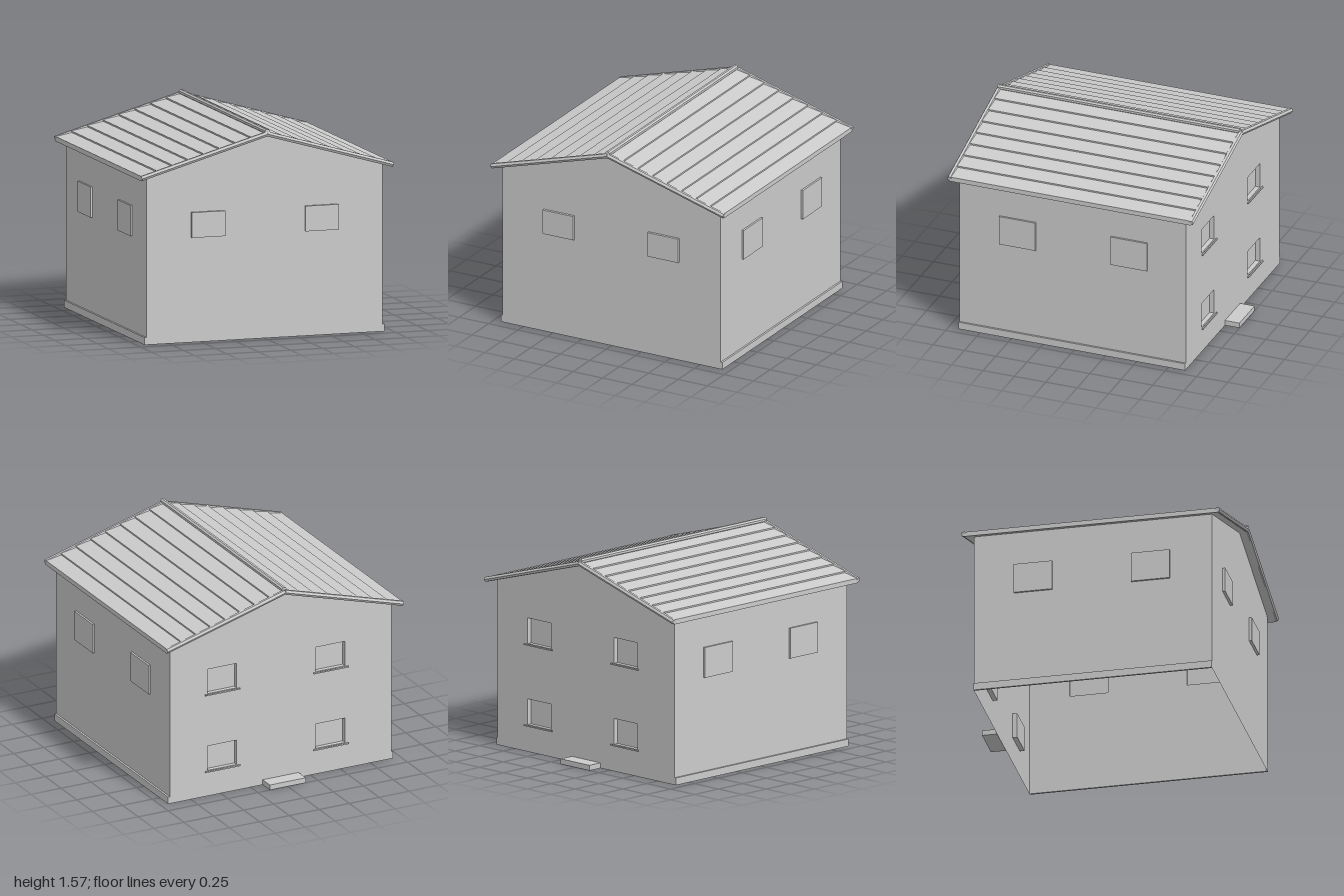
import * as THREE from 'three';

const X = 0.925, FRONT = 0.92, BACK = -0.885, EAVE = 1.255, APEX = 1.52;
const PITCH = (APEX - EAVE) / X;

export function createModel() {
  const house = new THREE.Group();
  house.name = 'house';
  const grey = new THREE.MeshStandardMaterial({ color: 0xcccccc, side: THREE.DoubleSide, flatShading: true });
  grey.name = 'plainGrey';

  const add = (name, geometry, parent = house) => {
    const mesh = new THREE.Mesh(geometry, grey);
    mesh.name = name;
    parent.add(mesh);
    return mesh;
  };
  const box = (name, x0, x1, y0, y1, z0, z1, parent) =>
    add(name, new THREE.BoxGeometry(x1 - x0, y1 - y0, z1 - z0)
      .translate((x0 + x1) / 2, (y0 + y1) / 2, (z0 + z1) / 2), parent);
  const polygon = (pts) => new THREE.Shape(pts.map(([x, y]) => new THREE.Vector2(x, y)));

  // Thin wall facing local +z, with windows [x0, x1, y0, y1] pushed out or in by depth
  const wall = (name, x0, x1, windows, depth) => {
    const group = new THREE.Group();
    group.name = name;
    house.add(group);
    const shape = polygon([[x0, 0], [x1, 0], [x1, EAVE], [x0, EAVE]]);
    for (const [a, b, c, d] of windows) {
      shape.holes.push(new THREE.Path([[a, c], [a, d], [b, d], [b, c]].map(([x, y]) => new THREE.Vector2(x, y))));
      // Pane and reveals: a box left open on the wall plane
      const geometry = new THREE.BoxGeometry(b - a, d - c, Math.abs(depth))
        .translate((a + b) / 2, (c + d) / 2, depth / 2);
      const index = Array.from(geometry.index.array);
      index.splice(depth > 0 ? 30 : 24, 6);
      geometry.setIndex(index);
      geometry.clearGroups();
      add('window', geometry, group);
    }
    add('wallPanel', new THREE.ShapeGeometry(shape), group);
    return group;
  };
  const gable = (parent) =>
    add('gable', new THREE.ShapeGeometry(polygon([[-X, EAVE], [X, EAVE], [0, APEX]])), parent);

  // Front wall
  const front = wall('frontWall', -X, X, [[-0.575, -0.315, 0.785, 0.975], [0.315, 0.575, 0.785, 0.975]], 0.02);
  front.position.z = FRONT;
  gable(front);

  // Back wall with recessed windows and sills
  const backWindows = [];
  for (const y of [0.205, 0.82]) {
    for (const [a, b] of [[-0.612, -0.367], [0.293, 0.538]]) backWindows.push([a, b, y, y + 0.195]);
  }
  const back = wall('backWall', -X, X, backWindows, -0.035);
  back.position.z = BACK;
  back.rotation.y = Math.PI;
  gable(back);
  for (const [a, b, c] of backWindows) box('sill', a - 0.023, b + 0.023, c - 0.01, c, 0.01, 0.02, back);

  // Side walls with plinths
  const right = wall('rightHandWall', -FRONT, -BACK, [[-0.6, -0.31, 0.765, 0.995], [0.29, 0.58, 0.765, 0.995]], 0.015);
  right.position.x = X;
  right.rotation.y = Math.PI / 2;
  box('plinth', -FRONT, -BACK, 0, 0.055, 0, 0.015, right);
  const left = wall('leftHandWall', BACK, FRONT, [[0.31, 0.6, 0.765, 0.995], [-0.58, -0.29, 0.765, 0.995]], 0.015);
  left.position.x = -X;
  left.rotation.y = -Math.PI / 2;
  box('plinth', BACK, FRONT, 0, 0.055, 0, 0.015, left);

  // Door step
  box('backStep', -0.15, 0.15, 0, 0.04, -1, BACK);

  // Roof slopes with lapped courses, and verge trims
  const END = 0.985, COURSES = 8;
  for (const s of [1, -1]) {
    const profile = [[0, APEX], [0, APEX + 0.025]];
    for (let i = 1; i <= COURSES; i++) {
      const x = (END * i) / COURSES, y = APEX - PITCH * x;
      profile.push([x, y + 0.036]);
      if (i < COURSES) profile.push([x, y + 0.025]);
    }
    profile.push([END, APEX - PITCH * END]);
    add('roofSlope', new THREE.ExtrudeGeometry(polygon(profile.map(([x, y]) => [s * x, y])),
      { depth: 1.925, bevelEnabled: false }).translate(0, 0, -0.95));

    for (const z of [0.975, -0.95]) {
      const trim = add('vergeTrim', new THREE.CylinderGeometry(0.02, 0.02, END * Math.hypot(1, PITCH), 6));
      trim.position.set(s * END / 2, 1.54 - PITCH * END / 2, z);
      trim.rotation.z = s * (Math.PI / 2 - Math.atan(PITCH));
    }
  }

  // Ridge cap
  add('ridgeCap', new THREE.CylinderGeometry(0.021, 0.021, 1.93, 8)
    .rotateY(Math.PI / 8).rotateX(Math.PI / 2).translate(0, 1.555, 0.02));

  return house;
}
